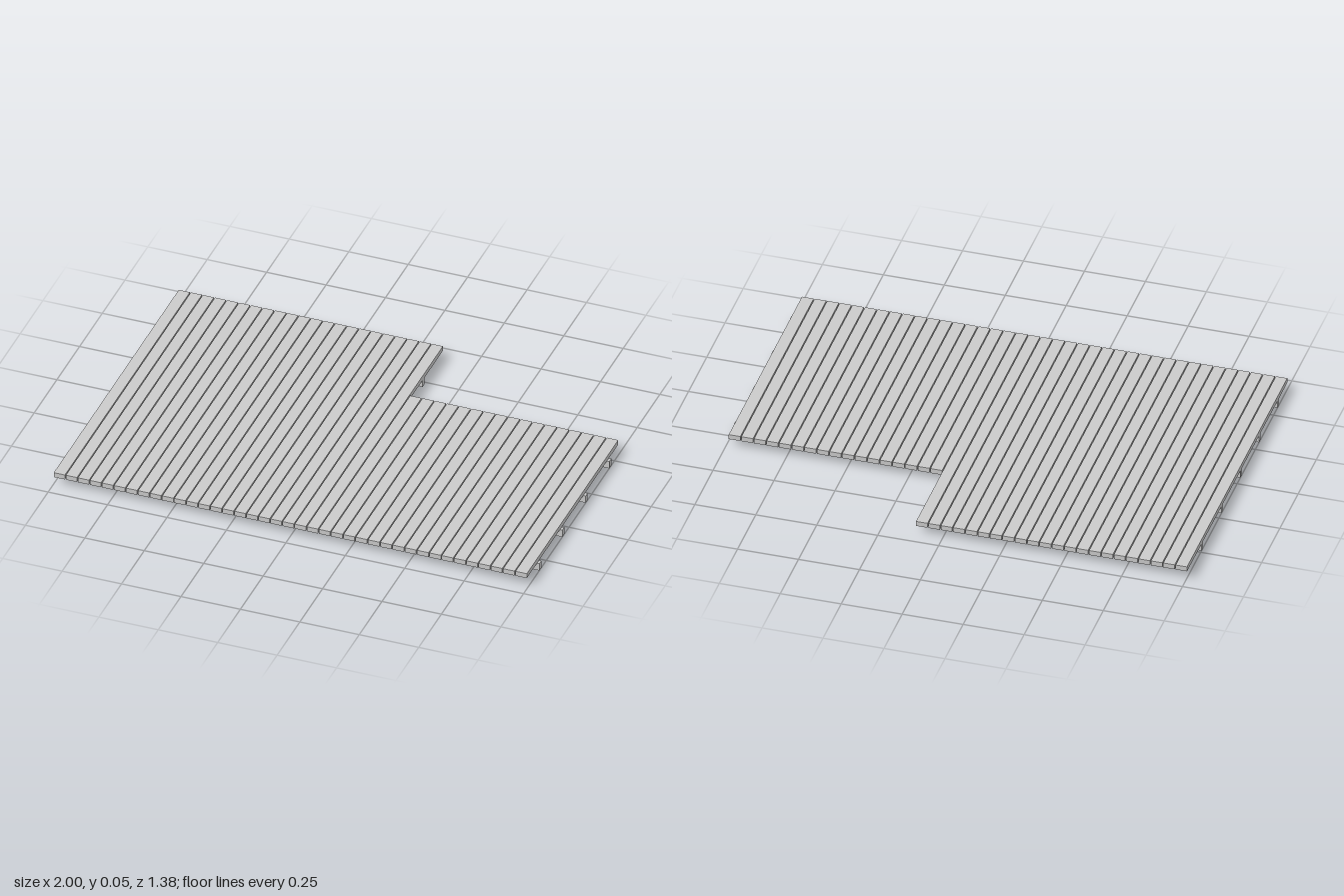
import * as THREE from 'three';

export function createModel() {
  const deck = new THREE.Group();
  deck.name = 'deck';
  const material = new THREE.MeshStandardMaterial({ color: 0xcccccc, flatShading: true });

  // Box given by its minimum and maximum corners
  function box(name, x0, x1, y0, y1, z0, z1) {
    const mesh = new THREE.Mesh(new THREE.BoxGeometry(x1 - x0, y1 - y0, z1 - z0), material);
    mesh.position.set((x0 + x1) / 2, (y0 + y1) / 2, (z0 + z1) / 2);
    mesh.name = name;
    deck.add(mesh);
  }

  const joistTop = 0.032, deckTop = 0.053, gap = 0.004;
  const front = 0.688, notchX = 0.115;

  // A row of planks running front to back, separated by narrow gaps
  function plankRow(name, xStart, pitch, count, back) {
    for (let i = 0; i < count; i++) {
      const x = xStart + i * pitch;
      box(name, x, x + pitch - gap, joistTop, deckTop, back, front);
    }
  }
  plankRow('longPlank', -1, (notchX + 1) / 22, 22, -0.688);
  plankRow('shortPlank', notchX, (0.994 - notchX) / 17, 17, -0.318);

  // Joists under the planks; the rear one stops at the notch
  const halfWidth = 0.011;
  for (const z of [0.565, 0.312, 0.055, -0.204, -0.477]) {
    const end = z < -0.318 ? notchX - gap : 1;
    box('joist', -1, end, 0, joistTop, z - halfWidth, z + halfWidth);
  }
  return deck;
}
